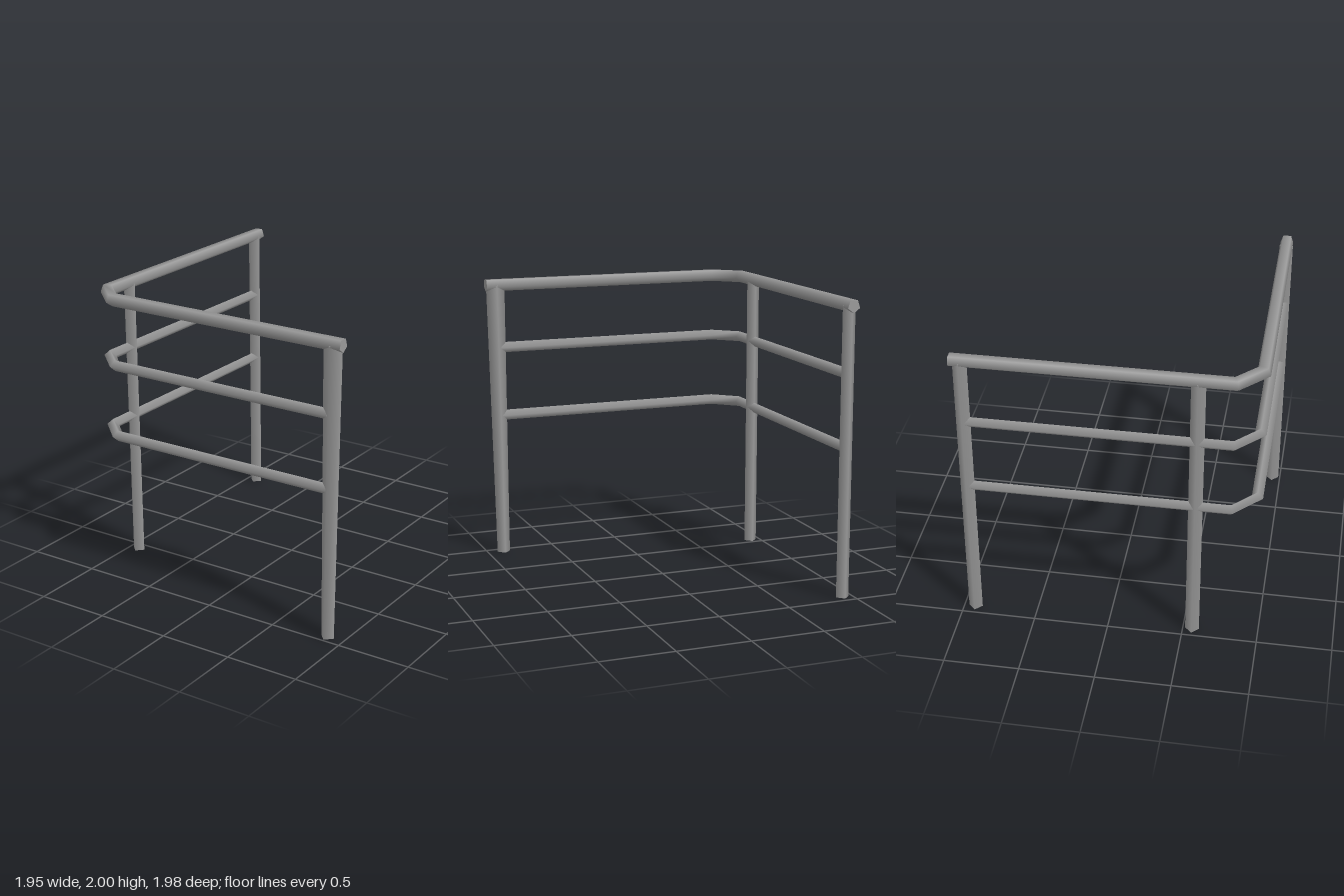
import * as THREE from 'three';

const UP = new THREE.Vector3(0, 1, 0);

// Bar swept along a level path with mitred bends and flat end caps; one corner of its section points down
function railGeometry(points, radius, sides) {
  const n = points.length, positions = [], normals = [], index = [];
  const steps = points.slice(1).map((p, i) => p.clone().sub(points[i]));
  points.forEach((p, i) => {
    const before = steps[Math.max(i - 1, 0)], after = steps[Math.min(i, n - 2)];
    const t = before.clone().normalize().add(after.clone().normalize()).normalize();
    const side = UP.clone().cross(t).divideScalar(t.dot(after) / after.length());
    // shading at a bend follows the longer neighbouring run
    const run = before.length() > after.length() ? before : after;
    const shadeSide = UP.clone().cross(run).normalize();
    for (let j = 0; j < sides; j++) {
      const a = (j / sides) * Math.PI * 2 - Math.PI / 2;
      const c = Math.cos(a), s = Math.sin(a);
      positions.push(...p.clone().addScaledVector(side, radius * c).addScaledVector(UP, radius * s).toArray());
      normals.push(...shadeSide.clone().multiplyScalar(c).addScaledVector(UP, s).toArray());
    }
  });
  for (let i = 0; i < n - 1; i++) {
    for (let j = 0; j < sides; j++) {
      const a = i * sides + j, b = i * sides + (j + 1) % sides;
      index.push(a, b, a + sides, b, b + sides, a + sides);
    }
  }
  // caps use their own vertices so their edges stay sharp
  for (const ring of [0, n - 1]) {
    const base = positions.length / 3;
    const out = ring === 0 ? steps[0].clone().negate().normalize() : steps[n - 2].clone().normalize();
    positions.push(...positions.slice(ring * sides * 3, (ring + 1) * sides * 3));
    for (let j = 0; j < sides; j++) normals.push(...out.toArray());
    for (let j = 1; j < sides - 1; j++) {
      if (ring === 0) index.push(base, base + j + 1, base + j);
      else index.push(base, base + j, base + j + 1);
    }
  }
  const g = new THREE.BufferGeometry();
  g.setAttribute('position', new THREE.Float32BufferAttribute(positions, 3));
  g.setAttribute('normal', new THREE.Float32BufferAttribute(normals, 3));
  g.setIndex(index);
  return g;
}

// Four-sided upright post, corners on the axes; flare pushes the top's outer (+x) side outwards
function postGeometry(flare = 0) {
  const radius = 0.0465, height = 1.96;
  const g = new THREE.CylinderGeometry(radius, radius, height, 4);
  g.translate(0, height / 2, 0);
  const p = g.attributes.position;
  for (let i = 0; i < p.count; i++) {
    const x = p.getX(i);
    p.setX(i, x + flare * (p.getY(i) / height) * (x + radius) / (2 * radius));
  }
  return g;
}

export function createModel() {
  const group = new THREE.Group();
  const material = new THREE.MeshStandardMaterial({ color: 0x999999 });
  const add = (name, geometry, x, y, z) => {
    const mesh = new THREE.Mesh(geometry, material);
    mesh.name = name;
    mesh.position.set(x, y, z);
    group.add(mesh);
  };

  // L-shaped rail path with a cut corner
  const path = (xEnd, zEnd) => [[-0.928, zEnd], [-0.928, 0.79], [-0.765, 0.942], [xEnd, 0.942]]
    .map(([x, z]) => new THREE.Vector3(x, 0, z));

  // Five-sided handrail and the two thinner square rails below it
  add('handrail', railGeometry(path(0.975, -0.988), 0.0455, 5), 0, 1.963, 0);
  add('upperRail', railGeometry(path(0.88, -0.924), 0.037, 4), 0, 1.513, 0);
  add('lowerRail', railGeometry(path(0.88, -0.924), 0.037, 4), 0, 1.02, 0);

  // Posts
  add('backPost', postGeometry(), -0.928, 0, -0.922);
  add('cornerPost', postGeometry(), -0.928, 0, 0.562);
  add('frontPost', postGeometry(0.042), 0.883, 0, 0.942);

  return group;
}
